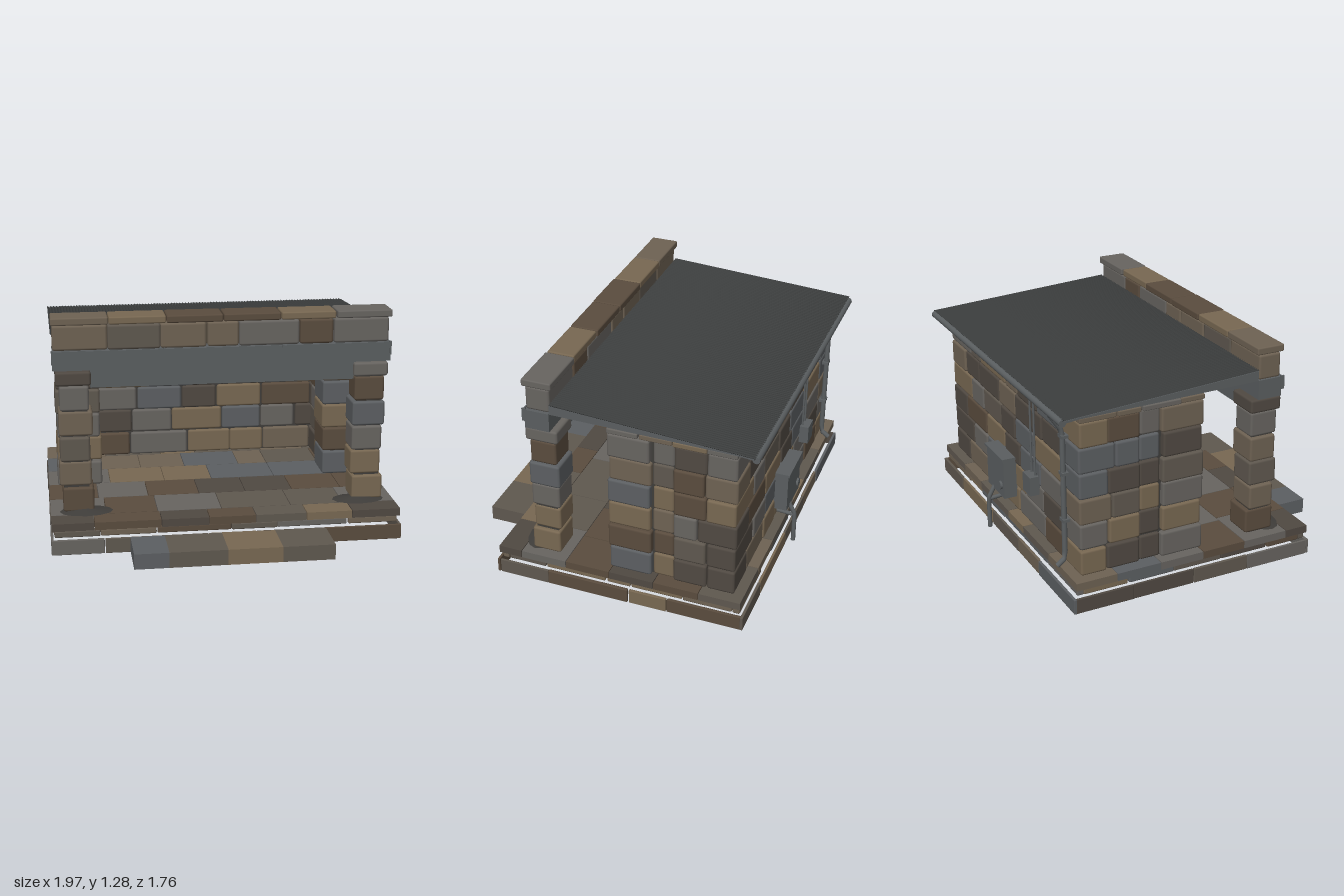
import * as THREE from 'three';
import { RoundedBoxGeometry } from 'three/addons/geometries/RoundedBoxGeometry.js';

export function createModel() {
  const model = new THREE.Group();
  model.name = 'stoneShelter';

  let seed = 7;
  const rand = () => (seed = (seed * 16807) % 2147483647) / 2147483647;
  const mat = (color, side = THREE.FrontSide) => {
    const m = new THREE.MeshStandardMaterial({ side });
    m.color.set(color);
    return m;
  };
  const tones = [0x6e6253, 0x5f584f, 0x5c5f62, 0x504942, 0x786852, 0x676460, 0x5a4c3e];
  const stoneMats = tones.map((c) => mat(c));
  const openMats = tones.map((c) => mat(c, THREE.DoubleSide));
  const steel = mat(0x5a5e60), mortar = mat(0x3f3d3a), sheet = mat(0x3a3c3c, THREE.DoubleSide);
  const pick = (list) => list[Math.floor(rand() * list.length)];

  const part = (name, parent = model) => {
    const g = new THREE.Group();
    g.name = name;
    parent.add(g);
    return g;
  };
  const add = (parent, name, geo, material) => {
    const m = new THREE.Mesh(geo, material);
    m.name = name;
    parent.add(m);
    return m;
  };
  const place = (geo, [x0, x1, y0, y1, z0, z1]) =>
    geo.translate((x0 + x1) / 2, (y0 + y1) / 2, (z0 + z1) / 2);
  const box = (parent, name, b, material) =>
    add(parent, name, place(new THREE.BoxGeometry(b[1] - b[0], b[3] - b[2], b[5] - b[4]), b), material);

  // Softly rounded block with slight irregularity
  const stone = (parent, b, wobble = 0.004) => {
    const j = b.map((v, i) => v + (i === 2 || i === 3 ? 0 : (rand() - 0.5) * 2 * wobble));
    const s = [j[1] - j[0], j[3] - j[2], j[5] - j[4]];
    const r = Math.min(0.014, Math.min(...s) * 0.2);
    add(parent, 'stone', place(new RoundedBoxGeometry(...s, 1, r), j), pick(stoneMats));
  };
  // Thin-walled slab, hollow underneath
  const slab = (parent, b) => {
    const geo = new THREE.BoxGeometry(b[1] - b[0], b[3] - b[2], b[5] - b[4]);
    const idx = Array.from(geo.index.array);
    geo.setIndex([...idx.slice(0, 18), ...idx.slice(24)]);
    geo.clearGroups();
    add(parent, 'slab', place(geo, b), pick(openMats));
  };
  // Split a box into n uneven pieces along x (axis 0) or z (axis 2)
  const course = (parent, b, n, axis = 0, make = stone, gap = 0.005, uneven = 0.5) => {
    const a = axis * 2, len = b[a + 1] - b[a];
    const cuts = Array.from({ length: n + 1 }, (_, i) =>
      b[a] + (len * (i + (i && i < n ? (rand() - 0.5) * uneven : 0))) / n);
    for (let i = 0; i < n; i++) {
      const p = b.slice();
      p[a] = cuts[i] + (i ? gap / 2 : 0);
      p[a + 1] = cuts[i + 1] - (i < n - 1 ? gap / 2 : 0);
      make(parent, p);
    }
  };
  const tube = (parent, name, pts, r, material = steel) => {
    const path = new THREE.CurvePath();
    const v = pts.map((p) => new THREE.Vector3(...p));
    for (let i = 1; i < v.length; i++) path.add(new THREE.LineCurve3(v[i - 1], v[i]));
    add(parent, name, new THREE.TubeGeometry(path, (v.length - 1) * 6, r, 10), material);
  };

  // Plinth: outer ring, thin middle course, and paved floor
  const plinth = part('plinth');
  const ring = (y0, y1, X, zf, zb, t, n) => {
    course(plinth, [-X, X, y0, y1, zf - t, zf], n);
    course(plinth, [-X, X, y0, y1, zb, zb + t], n);
    for (const s of [-1, 1])
      course(plinth, [Math.min(s * X, s * (X - t)), Math.max(s * X, s * (X - t)), y0, y1, zb + t, zf - t], n - 1, 2);
  };
  ring(0, 0.085, 0.985, 0.622, -0.835, 0.015, 5);
  ring(0.092, 0.13, 0.965, 0.598, -0.812, 0.04, 6);
  const floor = part('floor');
  const rows = [-0.82, -0.58, -0.32, -0.06, 0.2, 0.47, 0.61];
  for (let i = 0; i < rows.length - 1; i++)
    course(floor, [-0.98, 0.98, 0.132, 0.176, rows[i] + 0.002, rows[i + 1] - 0.002], 6 + (i % 2), 0, slab, 0.004, 0.4);

  // Front step
  const step = part('frontStep');
  const stepX = [-0.55, -0.36, -0.04, 0.26, 0.55];
  for (let i = 0; i < 4; i++) slab(step, [stepX[i], stepX[i + 1], 0, 0.087, 0.622, 0.88]);

  // Six shared courses for the walls and columns
  const levels = [0.176, 0.325, 0.47, 0.615, 0.76, 0.905];
  const mirror = (s, a, b) => (s > 0 ? [a, b] : [-b, -a]);

  // Front columns with cap stones and mortar at the feet
  for (const s of [-1, 1]) {
    const col = part('frontColumn');
    for (const y of levels.slice(0, 5))
      stone(col, [...mirror(s, 0.74, 0.915), y, y + 0.141, 0.25, 0.417], 0.01);
    box(col, 'columnCore', [...mirror(s, 0.76, 0.9), 0.176, 0.95, 0.27, 0.4], mortar);
    stone(col, [...mirror(s, 0.735, 0.93), 0.905, 0.985, 0.24, 0.425]);
    const foot = add(col, 'mortarFoot', new THREE.ConeGeometry(0.15, 0.018, 12), mortar);
    foot.scale.z = 0.6;
    foot.position.set(s * 0.78, 0.185, 0.41);
  }

  // Steel lintel, face plate and clips
  const lintel = part('lintel');
  box(lintel, 'lowerBeam', [-0.74, 0.74, 0.888, 0.99, 0.28, 0.4], steel);
  box(lintel, 'upperBeam', [-0.945, 0.945, 0.99, 1.1, 0.275, 0.416], steel);
  box(lintel, 'facePlate', [-0.95, 0.945, 1.03, 1.1, 0.422, 0.428], steel);
  for (const x of [-0.945, -0.33, 0.33, 0.94]) box(lintel, 'clip', [x - 0.005, x + 0.005, 1.03, 1.105, 0.41, 0.432], steel);

  // Parapet and coping
  const parapet = part('parapet');
  course(parapet, [-0.94, 0.93, 1.1, 1.24, 0.272, 0.412], 7);
  course(parapet, [-0.95, 0.95, 1.243, 1.285, 0.26, 0.426], 6, 0, stone, 0.005, 0);

  // Back wall and side walls, corners interlocked on alternate courses
  const walls = part('walls');
  levels.forEach((y, i) => {
    const top = y + 0.143, lap = i % 2;
    const X = lap ? 0.92 : 0.7;
    course(walls, [-X, X, y, top, -0.765, -0.6], lap ? 7 : 5);
    for (const s of [-1, 1]) {
      course(walls, [...mirror(s, 0.7, 0.92), y, top, lap ? -0.598 : -0.765, -0.415], lap ? 1 : 2, 2);
      stone(walls, [...mirror(s, 0.7, 0.905), y, top, -0.412, -0.292]);
      stone(walls, [...mirror(s, 0.665, 0.925), y, top, -0.288, -0.045], 0.008);
    }
  });
  box(walls, 'backCore', [-0.9, 0.9, 0.176, 1.05, -0.745, -0.62], mortar);
  for (const s of [-1, 1]) {
    box(walls, 'sideCore', [...mirror(s, 0.72, 0.89), 0.176, 1.05, -0.74, -0.065], mortar);
    course(walls, [...mirror(s, 0.68, 0.935), 1.053, 1.083, -0.765, -0.045], 4, 2);
  }
  course(walls, [-0.68, 0.68, 1.053, 1.083, -0.765, -0.6], 5);

  // Sloping corrugated roof
  const roof = part('roof');
  const topY = (z) => 1.16 + (z - 0.27) * 0.058;
  const ribs = new THREE.PlaneGeometry(1.9, 1.13, 416, 1).rotateX(-Math.PI / 2).translate(0, 0, -0.295);
  const pos = ribs.attributes.position;
  for (let i = 0; i < pos.count; i++)
    pos.setY(i, topY(pos.getZ(i)) + 0.005 * Math.sin(((i % 417) * Math.PI) / 2));
  ribs.computeVertexNormals();
  add(roof, 'corrugatedSheet', ribs, sheet);
  // Tapered rafters and edge boards
  const taper = new THREE.Shape([[0.275, 1.097], [0.275, 1.153], [-0.85, 1.088], [-0.85, 1.075], [-0.77, 1.083]]
    .map((p) => new THREE.Vector2(...p)));
  for (const x of [-0.925, -0.46, 0, 0.46, 0.925]) {
    const geo = new THREE.ExtrudeGeometry(taper, { depth: 0.03, bevelEnabled: false });
    add(roof, 'rafter', geo.rotateY(-Math.PI / 2).translate(x + 0.015, 0, 0), steel);
  }

  // Gutter and downpipe
  const drain = part('drainage');
  const gutter = add(drain, 'gutter', new THREE.CylinderGeometry(0.02, 0.02, 1.87, 14), steel);
  gutter.rotation.z = Math.PI / 2;
  gutter.position.set(0, 1.075, -0.86);
  tube(drain, 'downpipe', [[-0.77, 1.065, -0.86], [-0.77, 0.96, -0.79], [-0.77, 0.22, -0.788], [-0.77, 0.185, -0.835]], 0.015);
  for (const y of [0.45, 0.72, 0.93]) box(drain, 'bracket', [-0.795, -0.745, y - 0.008, y + 0.008, -0.805, -0.765], steel);

  // Utility boxes, conduits and ground pipe on the back wall
  const utility = part('utilityBoxes');
  box(utility, 'meterBox', [-0.055, 0.195, 0.26, 0.5, -0.84, -0.76], steel);
  box(utility, 'meterLid', [-0.065, 0.205, 0.495, 0.51, -0.85, -0.76], steel);
  const dial = add(utility, 'dial', new THREE.CylinderGeometry(0.025, 0.025, 0.015, 16), steel);
  dial.rotation.x = Math.PI / 2;
  dial.position.set(-0.01, 0.33, -0.845);
  box(utility, 'junctionBox', [-0.39, -0.29, 0.42, 0.53, -0.82, -0.76], steel);
  for (const x of [-0.365, -0.315]) tube(utility, 'conduit', [[x, 0.52, -0.776], [x, 1.06, -0.776]], 0.006);
  tube(utility, 'groundPipe', [[0.12, 0.27, -0.83], [0.12, 0.2, -0.87], [0.12, 0.01, -0.87]], 0.013);
  tube(utility, 'pipeBranch', [[0.12, 0.19, -0.87], [0.12, 0.2, -0.76]], 0.012);

  return model;
}
